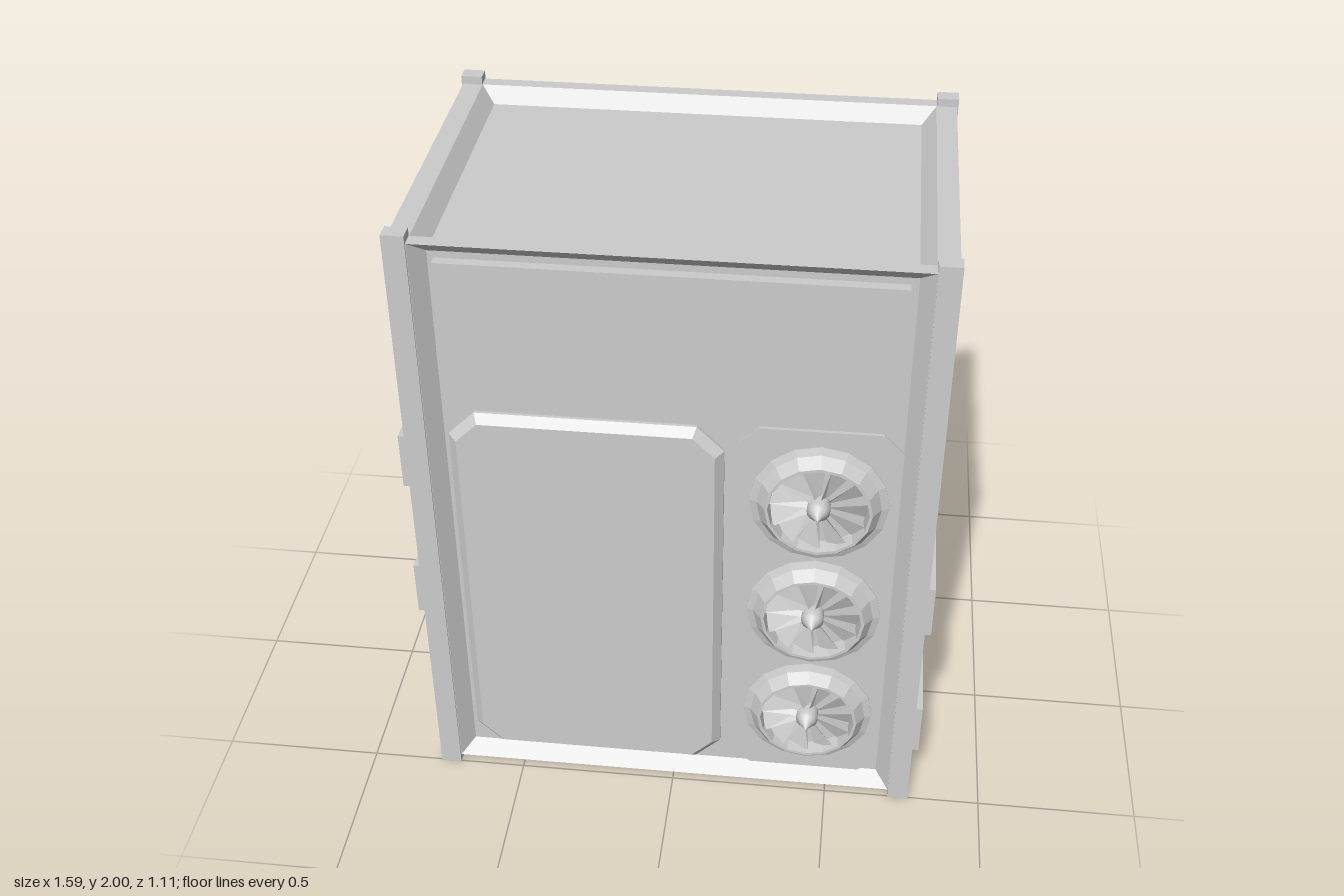
import * as THREE from 'three';

const grey = new THREE.MeshStandardMaterial({ color: 0xcccccc, side: THREE.DoubleSide });

// Cabinet centre and half sizes
const CX = -0.002, CY = 1.0025, CZ = -0.025;
const HX = 0.768, HY = 0.9725, HZ = 0.525;
const DEPTH = 0.045, SLOPE = 0.042;

function add(parent, name, geometry, x = 0, y = 0, z = 0) {
  const mesh = new THREE.Mesh(geometry, grey);
  mesh.name = name;
  mesh.position.set(x, y, z);
  parent.add(mesh);
  return mesh;
}

function flat(geometry) {
  const g = geometry.index ? geometry.toNonIndexed() : geometry;
  g.computeVertexNormals();
  return g;
}

// Box given by its limits
function block(parent, name, x0, x1, y0, y1, z0, z1) {
  return add(parent, name, new THREE.BoxGeometry(x1 - x0, y1 - y0, z1 - z0),
    (x0 + x1) / 2, (y0 + y1) / 2, (z0 + z1) / 2);
}

// Rectangular ring between two rectangles; the inner one lies deeper
function ring(w, h, iw, ih, depth) {
  const signs = [[-1, -1], [1, -1], [1, 1], [-1, 1]];
  const outer = signs.map(([a, b]) => [a * w, b * h, 0]);
  const inner = signs.map(([a, b]) => [a * iw, b * ih, -depth]);
  const pos = [];
  for (let i = 0; i < 4; i++) {
    const j = (i + 1) % 4;
    pos.push(...outer[i], ...outer[j], ...inner[j], ...outer[i], ...inner[j], ...inner[i]);
  }
  const g = new THREE.BufferGeometry();
  g.setAttribute('position', new THREE.Float32BufferAttribute(pos, 3));
  g.computeVertexNormals();
  return g;
}

// One side of the cabinet: border, sloped rim and optional recessed panel
function cabinetFace(name, w, h, opening, dist, rot, panel) {
  const face = new THREE.Group();
  face.name = name;
  face.rotation.set(...rot);
  face.position.set(0, 0, dist).applyEuler(face.rotation).add(new THREE.Vector3(CX, CY, CZ));
  const [ow, oh] = opening;
  add(face, 'border', ring(w, h, ow, oh, 0));
  add(face, 'slopedRim', ring(ow, oh, ow - SLOPE, oh - SLOPE, DEPTH));
  if (panel) add(face, 'recessedPanel', new THREE.PlaneGeometry(2 * (ow - SLOPE), 2 * (oh - SLOPE)), 0, 0, -DEPTH);
  return face;
}

// Rectangle with cut corners
function cutRect(x0, x1, y0, y1, c) {
  return new THREE.Shape([[x0 + c, y0], [x1 - c, y0], [x1, y0 + c], [x1, y1 - c],
    [x1 - c, y1], [x0 + c, y1], [x0, y1 - c], [x0, y0 + c]].map(p => new THREE.Vector2(...p)));
}

// Housing with a raised rim, tilted blades and a pointed hub
function createFan() {
  const fan = new THREE.Group();
  fan.name = 'fan';
  const profile = [[0, -0.105], [0.1, -0.1], [0.185, -0.083], [0.2, -0.075], [0.204, -0.05],
    [0.204, 0.008], [0.182, 0.016], [0.157, 0.05], [0.148, 0.05], [0.142, 0.005], [0, 0.005]]
    .map(p => new THREE.Vector2(...p));
  add(fan, 'fanHousing', flat(new THREE.LatheGeometry(profile, 16).rotateX(Math.PI / 2)));
  const count = 11;
  for (let i = 0; i < count; i++) {
    const blade = add(fan, 'fanBlade', new THREE.BufferGeometry());
    const pos = [0.025, -0.007, 0.012, 0.143, -0.036, 0.01, 0.143, 0.03, 0.036,
      0.025, -0.007, 0.012, 0.143, 0.03, 0.036, 0.025, 0.007, 0.032];
    blade.geometry.setAttribute('position', new THREE.Float32BufferAttribute(pos, 3));
    blade.geometry.computeVertexNormals();
    blade.rotation.z = (i / count) * Math.PI * 2;
  }
  const hub = [[0.034, 0], [0.034, 0.046], [0.025, 0.056], [0, 0.092]].map(p => new THREE.Vector2(...p));
  add(fan, 'fanHub', new THREE.LatheGeometry(hub, 16).rotateX(Math.PI / 2));
  return fan;
}

// Side cover plate with a slightly raised face
function sideCover(parent, s) {
  const x = CX + s * (HX - DEPTH);
  add(parent, 'sideCoverBase', new THREE.BoxGeometry(0.012, 0.38, 0.875), x, 1.745, CZ);
  add(parent, 'sideCoverFace', new THREE.BoxGeometry(0.05, 0.335, 0.83), x + s * 0.012, 1.7425, CZ);
}

export function createModel() {
  const model = new THREE.Group();
  model.name = 'cabinet';

  // Corner posts
  for (const sx of [-1, 1]) for (const sz of [-1, 1]) {
    add(model, 'cornerPost', new THREE.BoxGeometry(0.065, 2, 0.05), CX + sx * 0.74, 1, CZ + sz * 0.505);
  }

  // Cabinet shell with open sides
  const q = Math.PI / 2, OX = 0.706, OZ = 0.481;
  model.add(
    cabinetFace('front', HX, HY, [OX, HY], HZ, [0, 0, 0], true),
    cabinetFace('back', HX, HY, [OX, HY], HZ, [0, Math.PI, 0], true),
    cabinetFace('leftSide', HZ, HY, [OZ, HY], HX, [0, q, 0], false),
    cabinetFace('rightSide', HZ, HY, [OZ, HY], HX, [0, -q, 0], false),
    cabinetFace('top', HX, HZ, [OX, OZ], HY, [-q, 0, 0], true),
    cabinetFace('bottom', HX, HZ, [OX, OZ], HY, [q, 0, 0], true),
  );

  // Inner core with softened vertical edges
  const core = new THREE.ExtrudeGeometry(cutRect(-0.6, 0.6, -0.365, 0.4, 0.015), { depth: 1.855, bevelEnabled: false });
  add(model, 'innerCore', core.rotateX(-q), 0, 0.072, 0);

  // Side covers, lower right cover and straps
  sideCover(model, 1);
  sideCover(model, -1);
  block(model, 'lowerSideCover', -0.73, -0.718, 0.072, 0.44, -0.462, 0.412);
  for (const y of [0.22, 0.715]) block(model, 'leftStrap', 0.768, 0.79, y, y + 0.18, -0.545, 0.497);
  for (const y of [0.66, 1.15]) block(model, 'rightStrap', -0.795, -0.772, y, y + 0.18, -0.545, 0.497);

  // Front cover, door and fan plate
  block(model, 'frontCover', -0.648, 0.64, 1.578, 1.912, 0.45, 0.485);
  const b = 0.025;
  const door = new THREE.ExtrudeGeometry(cutRect(-0.652 + b, 0.152 - b, 0.082 + b, 1.41 - b, 0.065),
    { depth: 0.045, bevelEnabled: true, bevelSegments: 1, bevelSize: b, bevelThickness: b });
  add(model, 'frontDoor', door, 0, 0, 0.42);
  const plate = new THREE.ExtrudeGeometry(cutRect(0.19, 0.663, 0.074, 1.42, 0.06), { depth: 0.05, bevelEnabled: false });
  add(model, 'fanPlate', plate, 0, 0, 0.415);

  // Fans
  for (const y of [0.325, 0.745, 1.165]) {
    const fan = createFan();
    fan.position.set(0.43, y, 0.46);
    model.add(fan);
  }
  return model;
}
